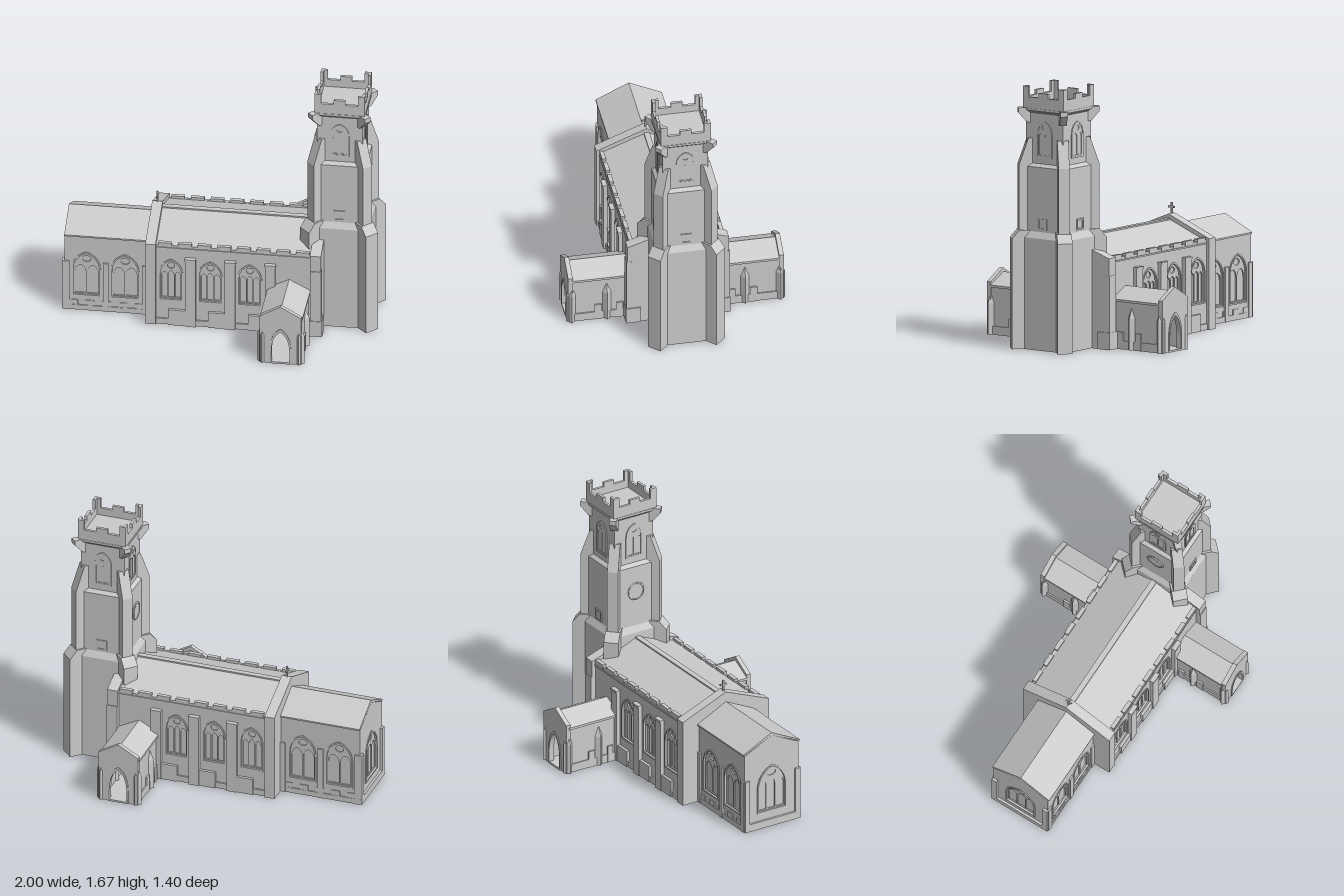
import * as THREE from 'three';

const mat = new THREE.MeshStandardMaterial({ color: 0xcccccc, side: THREE.DoubleSide });

function add(parent, name, geo) {
  const m = new THREE.Mesh(geo, mat);
  m.name = name;
  parent.add(m);
  return m;
}

function group(parent, name) {
  const g = new THREE.Group();
  g.name = name;
  parent.add(g);
  return g;
}

// Box given by its limits on each axis, in any order
function box(parent, name, x0, x1, y0, y1, z0, z1) {
  const geo = new THREE.BoxGeometry(Math.abs(x1 - x0), Math.abs(y1 - y0), Math.abs(z1 - z0));
  return add(parent, name, geo.translate((x0 + x1) / 2, (y0 + y1) / 2, (z0 + z1) / 2));
}

const poly = pts => new THREE.Shape(pts.map(p => new THREE.Vector2(...p)));
const extrude = (shape, depth) => new THREE.ExtrudeGeometry(shape, { depth, bevelEnabled: false, curveSegments: 8 });

// House-shaped outline: half width, base, eaves, ridge
const house = (w, y0, ye, yr) => poly([[-w, y0], [w, y0], [w, ye], [0, yr], [-w, ye]]);

// Outline swept along x
const alongX = (shape, x0, x1) => extrude(shape, x1 - x0).rotateY(Math.PI / 2).translate(x0, 0, 0);

// Pointed arch centred on x
function arch(x, w, y0, y1, rise = w * 0.75) {
  const s = new THREE.Shape(), h = w / 2, ys = y1 - rise;
  s.moveTo(x - h, y0);
  s.lineTo(x + h, y0);
  s.lineTo(x + h, ys);
  s.quadraticCurveTo(x + h, ys + rise * 0.75, x, y1);
  s.quadraticCurveTo(x - h, ys + rise * 0.75, x - h, ys);
  return s;
}

// Window plate pierced by tall lights and a row of small ones above
function tracery(parent, x, w, y0, y1, lights, z, depth) {
  const plate = arch(x, w, y0, y1), bar = 0.008;
  const lw = (w - bar * (lights + 1)) / lights;
  const mid = y0 + (y1 - y0) * 0.72;
  for (let i = 0; i < lights; i++) {
    const cx = x - w / 2 + bar + lw / 2 + i * (lw + bar);
    const centre = 1 - Math.abs(cx - x) / w;
    plate.holes.push(arch(cx, lw, y0 + bar, mid - 0.02 + centre * 0.02, lw * 0.8));
  }
  const eye = new THREE.Path();
  eye.absellipse(x, y1 - (y1 - mid) * 0.52, w * 0.17, (y1 - mid) * 0.26, 0, Math.PI * 2);
  plate.holes.push(eye);
  add(parent, 'windowTracery', extrude(plate, depth).translate(0, 0, z));
}

// Raised rim around an arch
function hood(parent, x, w, y0, y1, z) {
  const rim = arch(x, w + 0.02, y0 - 0.01, y1 + 0.012);
  rim.holes.push(arch(x, w, y0, y1));
  add(parent, 'windowHood', extrude(rim, 0.006).translate(0, 0, z));
}

// Wall skin with recessed windows: [centre, width, sill, top, lights]
function panel(parent, name, outline, wins, z, t) {
  const g = group(parent, name);
  wins.forEach(([x, w, a, b]) => outline.holes.push(arch(x, w, a, b)));
  add(g, 'wall', extrude(outline, t).translate(0, 0, z - t));
  wins.forEach(([x, w, a, b, n]) => {
    tracery(g, x, w, a, b, n, z - t, t * 0.55);
    hood(g, x, w, a, b, z);
  });
  return g;
}

const rect = (x0, x1, y0, y1) => poly([[x0, y0], [x1, y0], [x1, y1], [x0, y1]]);

function buildChancel(root) {
  const g = group(root, 'chancel');
  add(g, 'chancelCore', alongX(house(0.187, 0, 0.53, 0.62), -0.972, -0.42));
  const roof = poly([[-0.212, 0.53], [0, 0.625], [0.212, 0.53], [0.212, 0.54], [0, 0.643], [-0.212, 0.54]]);
  add(g, 'chancelRoof', alongX(roof, -0.985, -0.42));
  for (const s of [1, -1]) {
    const [a, b] = [-0.985 * s, -0.43 * s].sort((p, q) => p - q);
    const wins = [-0.845, -0.6].map(x => [x * s, 0.165, 0.11, 0.41, 2]);
    panel(g, 'chancelSideWall', rect(a, b, 0, 0.53), wins, 0.202, 0.015).rotation.y = s > 0 ? 0 : Math.PI;
    box(g, 'chancelPlinth', -0.99, -0.45, 0, 0.035, 0.19 * s, 0.209 * s);
    for (let i = 0; i < 5; i++) {
      const x = -0.955 + i * 0.105;
      box(g, 'plinthStep', x, x + 0.055, 0, 0.07, 0.19 * s, 0.207 * s);
    }
    for (const x of [-0.97, -0.722, -0.47]) box(g, 'chancelButtress', x - 0.018, x + 0.018, 0, 0.35, 0.19 * s, 0.213 * s);
  }
  const end = panel(g, 'chancelEndWall', house(0.2, 0, 0.53, 0.625), [[0, 0.2, 0.11, 0.41, 3]], 0.985, 0.015);
  end.rotation.y = -Math.PI / 2;
  box(g, 'endPlinth', -1, -0.97, 0, 0.05, -0.205, 0.205);
  for (const s of [1, -1]) box(g, 'endButtress', -1, -0.97, 0, 0.35, 0.17 * s, 0.207 * s);
}

function buildNave(root) {
  const g = group(root, 'nave');
  add(g, 'naveCore', alongX(house(0.284, 0, 0.56, 0.665), -0.4, 0.62));
  add(g, 'naveRoof', alongX(house(0.29, 0.54, 0.565, 0.68), -0.4, 0.6));
  box(g, 'ridgeCap', -0.4, 0.6, 0.67, 0.682, -0.018, 0.018);
  // Gable walls at both ends
  add(g, 'naveGableWall', alongX(house(0.322, 0, 0.58, 0.71), -0.456, -0.39));
  add(g, 'towerGableWall', alongX(house(0.325, 0, 0.58, 0.69), 0.59, 0.66));
  for (const s of [1, -1]) {
    const [a, b] = [-0.42 * s, 0.6 * s].sort((p, q) => p - q);
    const wins = [-0.295, -0.045, 0.205].map(x => [x * s, 0.135, 0.18, 0.46, 3]);
    panel(g, 'naveSideWall', rect(a, b, 0, 0.57), wins, 0.3, 0.016).rotation.y = s > 0 ? 0 : Math.PI;
    box(g, 'navePlinth', -0.42, 0.6, 0, 0.04, 0.28 * s, 0.31 * s);
    box(g, 'parapetString', -0.4, 0.6, 0.545, 0.555, 0.28 * s, 0.306 * s);
    for (let i = 0; i < 8; i++) {
      const x = -0.375 + i * 0.125;
      box(g, 'parapetMerlon', x, x + 0.085, 0.56, 0.588, 0.278 * s, 0.304 * s);
    }
    for (const x of [-0.17, 0.083, 0.337]) {
      box(g, 'naveButtress', x - 0.033, x + 0.033, 0, 0.475, 0.28 * s, 0.325 * s);
      box(g, 'buttressCap', x - 0.035, x + 0.035, 0.475, 0.49, 0.28 * s, 0.33 * s);
      box(g, 'plinthStep', x - 0.14, x - 0.033, 0, 0.11, 0.28 * s, 0.318 * s);
    }
    box(g, 'gableButtress', 0.592, 0.662, 0, 0.47, 0.28 * s, 0.33 * s);
    box(g, 'gableButtressFoot', 0.57, 0.668, 0, 0.11, 0.24 * s, 0.334 * s);
  }
  const cross = group(g, 'gableCross');
  box(cross, 'crossUpright', -0.43, -0.419, 0.69, 0.78, -0.006, 0.006);
  box(cross, 'crossArm', -0.429, -0.42, 0.745, 0.757, -0.024, 0.024);
}

function buildPorch(root, s) {
  const g = group(root, s > 0 ? 'frontPorch' : 'backPorch');
  g.position.x = 0.455;
  g.rotation.y = s > 0 ? 0 : Math.PI;
  const gable = house(0.132, 0, 0.335, 0.41);
  gable.holes.push(arch(0, 0.115, 0.012, 0.23, 0.15));
  add(g, 'porchFront', extrude(gable, 0.03).translate(0, 0, 0.66));
  const rim = arch(0, 0.135, 0, 0.25, 0.16);
  rim.holes.push(arch(0, 0.115, 0.012, 0.23, 0.15));
  add(g, 'doorRim', extrude(rim, 0.008).translate(0, 0, 0.688));
  const roof = poly([[-0.135, 0.3], [-0.11, 0.3], [0, 0.365], [0.11, 0.3], [0.135, 0.3], [0.135, 0.315], [0, 0.385], [-0.135, 0.315]]);
  add(g, 'porchRoof', extrude(roof, 0.39).translate(0, 0, 0.28));
  box(g, 'porchFloor', -0.125, 0.125, 0, 0.012, 0.28, 0.69);
  box(g, 'innerDoor', -0.05, 0.05, 0, 0.2, 0.29, 0.306);
  for (const d of [1, -1]) {
    box(g, 'porchSideWall', 0.1 * d, 0.122 * d, 0, 0.31, 0.28, 0.67);
    box(g, 'porchPlinth', 0.11 * d, 0.13 * d, 0, 0.055, 0.28, 0.67);
    box(g, 'plinthStep', 0.11 * d, 0.133 * d, 0, 0.11, 0.475, 0.52);
    box(g, 'plinthStep', 0.11 * d, 0.133 * d, 0, 0.11, 0.34, 0.38);
    for (const z of [0.442, 0.668]) {
      const shaft = new THREE.CylinderGeometry(0.033, 0.033, 0.2, 4).translate(0.116 * d, 0.1, z);
      const tip = new THREE.ConeGeometry(0.033, 0.08, 4).translate(0.116 * d, 0.24, z);
      add(g, 'porchButtress', shaft.toNonIndexed()).geometry.computeVertexNormals();
      add(g, 'buttressTip', tip.toNonIndexed()).geometry.computeVertexNormals();
    }
  }
}

function buildTower(root) {
  const g = group(root, 'tower');
  g.position.x = 0.755;
  // Square shaft stepping in at each stage: [half width, height]
  const stages = [[0, 0], [0.19, 0], [0.19, 0.71], [0.167, 0.75], [0.167, 1.16], [0.145, 1.18], [0.145, 1.5], [0.155, 1.51], [0.155, 1.55], [0, 1.55]];
  const shaft = new THREE.LatheGeometry(stages.map(([r, y]) => new THREE.Vector2(r * Math.SQRT2, y)), 4, Math.PI / 4).toNonIndexed();
  shaft.computeVertexNormals();
  add(g, 'towerShaft', shaft);
  const lower = poly([[0.1, 0], [0.302, 0], [0.302, 0.7], [0.255, 0.755], [0.1, 0.755]]);
  const upper = poly([[0.1, 0.7], [0.255, 0.7], [0.255, 1.17], [0.195, 1.34], [0.1, 1.34]]);
  const spout = poly([[0.15, 1.43], [0.205, 1.44], [0.258, 1.5], [0.258, 1.53], [0.15, 1.53]]);
  for (let i = 0; i < 4; i++) {
    // Diagonal corner buttresses and spouts
    const corner = group(g, 'towerCorner');
    corner.rotation.y = Math.PI / 4 + i * Math.PI / 2;
    for (const [name, shape, w] of [['lowerButtress', lower, 0.095], ['upperButtress', upper, 0.07], ['cornerSpout', spout, 0.045]]) {
      add(corner, name, extrude(shape, w).translate(0, 0, -w / 2));
    }
    // Each face: belfry window, small window or clock, battlements
    const face = group(g, 'towerFace');
    face.rotation.y = i * Math.PI / 2;
    tracery(face, 0, 0.1, 1.23, 1.44, 2, 0.14, 0.009);
    hood(face, 0, 0.1, 1.23, 1.44, 0.145);
    if (i === 3) {
      const disc = new THREE.CylinderGeometry(0.055, 0.055, 0.014, 24).rotateX(Math.PI / 2);
      add(face, 'clockFace', disc.translate(0, 0.99, 0.168));
      add(face, 'clockRim', new THREE.TorusGeometry(0.055, 0.006, 6, 24).translate(0, 0.99, 0.173));
    } else {
      const frame = rect(-0.036, 0.036, 0.762, 0.834);
      frame.holes.push(rect(-0.025, 0.025, 0.773, 0.823));
      add(face, 'smallWindowFrame', extrude(frame, 0.012).translate(0, 0, 0.162));
    }
    box(face, 'stringCourse', -0.16, 0.16, 1.515, 1.53, 0.14, 0.163);
    box(face, 'parapet', -0.16, 0.16, 1.53, 1.6, 0.142, 0.16);
    box(face, 'middleMerlon', -0.037, 0.037, 1.6, 1.63, 0.142, 0.16);
    for (const s of [1, -1]) box(face, 'cornerMerlon', 0.117 * s, 0.16 * s, 1.6, 1.667, 0.142, 0.16);
  }
}

export function createModel() {
  const root = new THREE.Group();
  root.name = 'church';
  buildChancel(root);
  buildNave(root);
  buildPorch(root, 1);
  buildPorch(root, -1);
  buildTower(root);
  return root;
}
